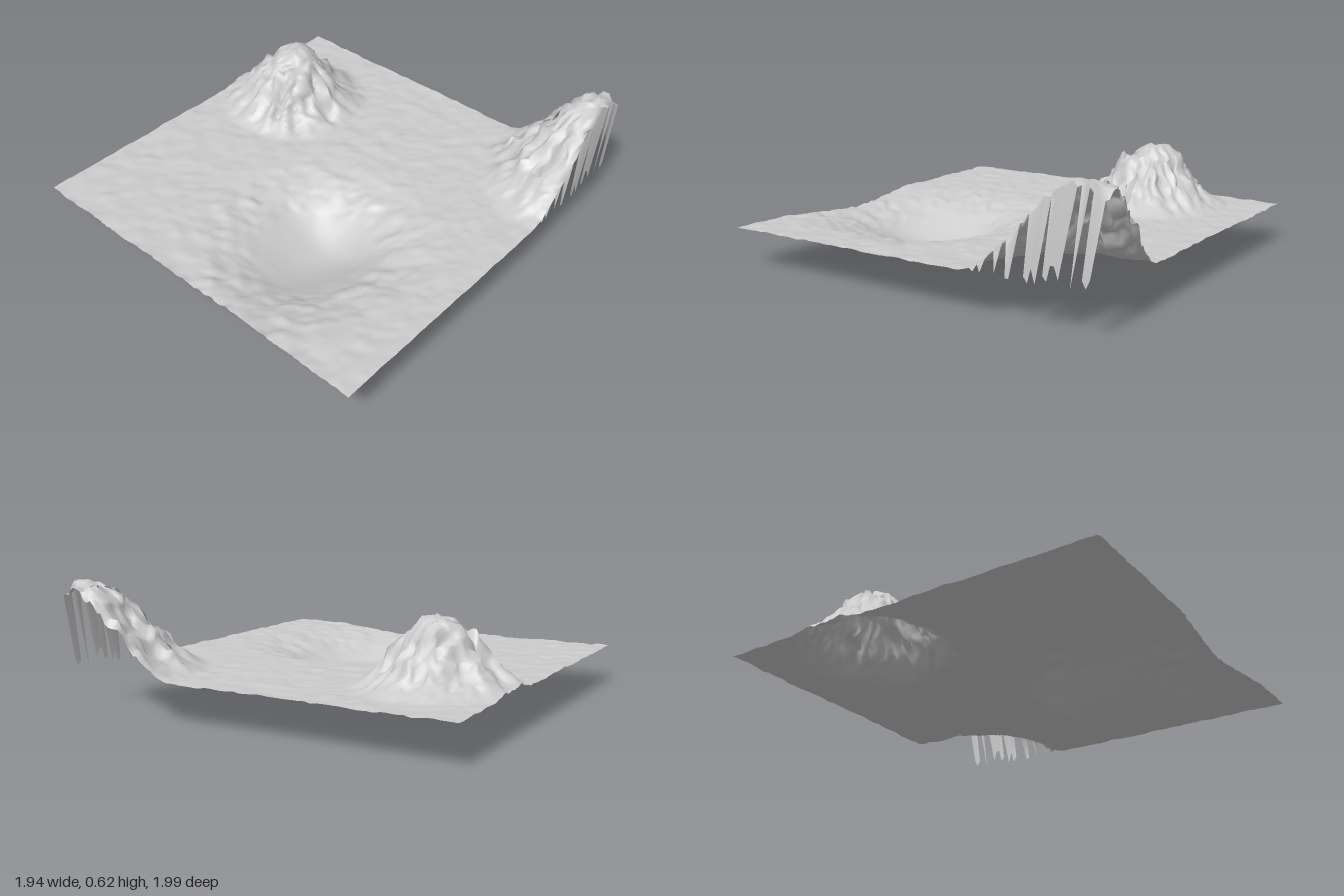
import * as THREE from 'three';

const N = 110;            // grid cells per side
const BASE = 0.195;       // level of the plain
const X0 = -0.972, X1 = 0.965, Z0 = -0.932, Z1 = 0.998;
const { smoothstep, lerp } = THREE.MathUtils;

// Seeded lattice value in 0..1
function hash(i, j) {
  const s = Math.sin(i * 127.1 + j * 311.7 + 17.3) * 43758.5453;
  return s - Math.floor(s);
}

// Smooth value noise in -1..1
function noise(x, y) {
  const i = Math.floor(x), j = Math.floor(y);
  const u = smoothstep(x - i, 0, 1), v = smoothstep(y - j, 0, 1);
  const a = lerp(hash(i, j), hash(i + 1, j), u);
  const b = lerp(hash(i, j + 1), hash(i + 1, j + 1), u);
  return 2 * lerp(a, b, v) - 1;
}

const bell = (dx, dz, sx, sz) => Math.exp(-0.5 * ((dx / sx) ** 2 + (dz / sz) ** 2));

// Rocky hill: a bell with a clear foot, gullies running down and coarse rock
function hill(x, z, h) {
  const dx = x - h.x, dz = z - h.z;
  const b = Math.max(0, 1.08 * bell(dx, dz, h.sx, h.sz) - 0.08);
  const a = Math.atan2(dz, dx), r = Math.hypot(dx, dz);
  const gullies = noise(Math.cos(a) * 7 + 20, Math.sin(a) * 7 + r * 3) * Math.min(1, r * 6);
  const rock = noise(x * 22, z * 22) * 0.55 + noise(x * 45 + 9, z * 45) * 0.45;
  const slope = Math.min(1, b * (1 - b) * 5);
  return h.height * b + slope * (0.04 * gullies + 0.028 * rock) + 0.022 * b * rock;
}

const hills = [
  { x: -0.63, z: -0.37, sx: 0.175, sz: 0.17, height: 0.315 },
  { x: 0.9, z: -0.82, sx: 0.21, sz: 0.22, height: 0.43 },
];

// Smooth basin, steep at the back and long towards the front
function basin(x, z) {
  return 0.193 * bell(x - 0.22, z - 0.32, 0.22, z < 0.32 ? 0.175 : 0.36);
}

function createTerrain() {
  const geo = new THREE.PlaneGeometry(X1 - X0, Z1 - Z0, N, N);
  geo.rotateX(-Math.PI / 2);
  geo.translate((X0 + X1) / 2, 0, (Z0 + Z1) / 2);
  const p = geo.attributes.position;

  for (let k = 0; k < p.count; k++) {
    const i = k % (N + 1), j = Math.floor(k / (N + 1));
    let x = p.getX(k), z = p.getZ(k);
    const h0 = hill(x, z, hills[0]), h1 = hill(x, z, hills[1]);
    const d = basin(x, z);

    // Rough plain, rougher around the basin's rim and smooth in its bed
    const t = d / 0.193;
    const rim = t * (1 - t) * 4 * Math.max(0, 1 - t * 1.8);
    const grain = noise(x * 15 + 50, z * 15) * 0.6 + noise(x * 31, z * 31 + 70) * 0.4;
    let y = BASE + h0 + h1 - d + grain * (0.007 * (1 - t) + 0.024 * rim);

    // Ragged skirt: edge points of the corner hill hang down to the plain
    if (i === N && h1 > 0.02 && hash(j, 11) < 0.6) {
      y = BASE + h1 * 0.3 * hash(j, 5) ** 2;
    } else {
      z -= 0.16 * h1;
      // Craggy sideways shifts on the hills and around the rim
      const c = Math.min(1, Math.max(0, h0 + h1) * 8) * 0.02 + rim * 0.01;
      if (i > 0 && i < N - 1 && j > 0 && j < N) {
        x += c * noise(x * 30 + 5, z * 30);
        z += c * noise(x * 30, z * 30 + 31);
      }
      // The last row stands almost at the edge, so the skirt is upright
      if (i === N - 1 && h1 > 0.02) x = X1 - 0.004;
    }
    // Front edge: uneven, and drawn in where the basin meets it
    z -= 0.9 * d * smoothstep(z, 0.6, 1);
    if (j === N) z -= 0.006 * hash(i, 3);
    p.setXYZ(k, x, Math.max(0, y), z);
  }
  geo.computeVertexNormals();
  const mat = new THREE.MeshStandardMaterial({ color: 0xcccccc, side: THREE.DoubleSide });
  const mesh = new THREE.Mesh(geo, mat);
  mesh.name = 'terrain';
  return mesh;
}

export function createModel() {
  const group = new THREE.Group();
  group.name = 'landscape';
  group.add(createTerrain());
  return group;
}
